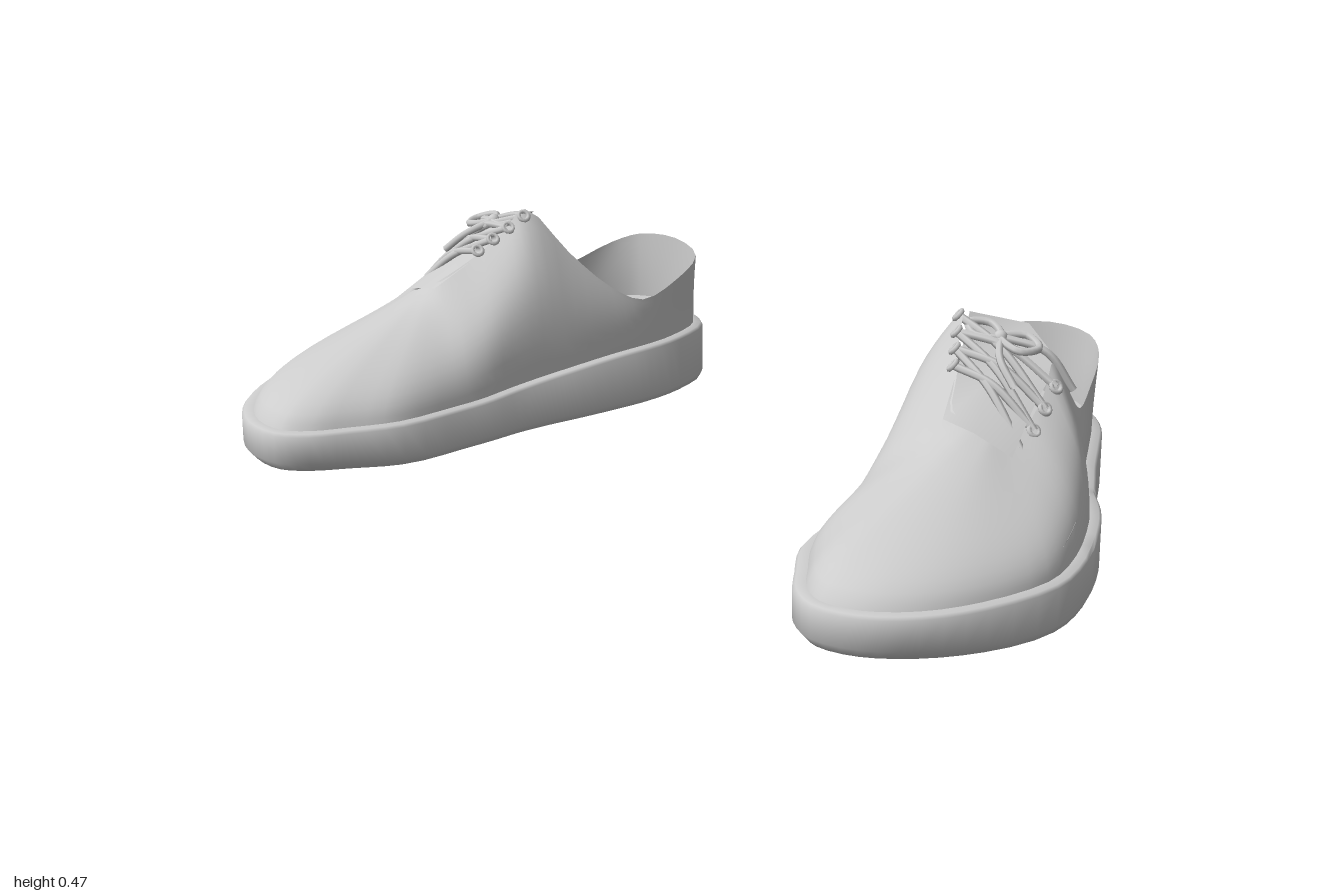
import * as THREE from 'three';
import { toCreasedNormals } from 'three/addons/utils/BufferGeometryUtils.js';

const V = (x, y, z) => new THREE.Vector3(x, y, z);
const smooth = THREE.MathUtils.smoothstep;

// Around the shoe from the heel: sole outline x, z, then the matching point x, y, z on the opening edge
const PROFILE = [
  [.51, -.566, .51, .31, -.545], [.40, -.51, .412, .295, -.50], [.37, -.39, .39, .265, -.40],
  [.375, -.29, .405, .24, -.30], [.39, -.22, .44, .28, -.23], [.42, -.11, .50, .365, -.16],
  [.445, -.03, .575, .465, -.10], [.465, .05, .60, .415, -.05], [.475, .12, .635, .365, .01],
  [.49, .20, .67, .325, .075], [.52, .35, .695, .312, .08], [.58, .45, .71, .305, .08],
  [.63, .52, .72, .30, .08], [.695, .56, .73, .295, .08], [.79, .547, .74, .29, .08],
  [.88, .48, .755, .285, .075], [.95, .37, .77, .277, .07], [.997, .21, .785, .27, .06],
  [.98, .08, .785, .285, .01], [.93, -.05, .775, .335, -.08], [.895, -.11, .755, .385, -.145],
  [.855, -.16, .75, .335, -.195], [.82, -.22, .74, .28, -.245], [.786, -.28, .73, .235, -.30],
  [.73, -.39, .70, .25, -.39], [.68, -.48, .66, .285, -.49], [.615, -.545, .61, .305, -.535],
];
const N = PROFILE.length * 3;
const outline = new THREE.CatmullRomCurve3(PROFILE.map(p => V(p[0], 0, p[1])), true);
const opening = new THREE.CatmullRomCurve3(PROFILE.map(p => V(p[2], p[3], p[4])), true);

const soleTop = z => .1 + .035 * smooth(-z, -.2, .28);
const toeLift = z => smooth(z, .25, .56);
const insoleTop = z => .16 - .06 * smooth(z, 0, .3);

// Outline ring moved inwards by d(z), at height y(z)
function ring(d, y) {
  return Array.from({ length: N }, (_, i) => {
    const p = outline.getPoint(i / N), t = outline.getTangent(i / N);
    const inset = d(p.z);
    return V(p.x + t.z * inset, y(p.z), p.z - t.x * inset);
  });
}

// Surface through rows of points; closed rows wrap around, caps fill the first and last row
function loft(rows, closed = true, caps = false) {
  const n = rows[0].length, index = [];
  for (let j = 0; j < rows.length - 1; j++) {
    for (let i = 0; i < (closed ? n : n - 1); i++) {
      const k = (i + 1) % n, a = j * n, b = a + n;
      index.push(a + i, a + k, b + k, a + i, b + k, b + i);
    }
  }
  if (caps) {
    const fill = (row, base, flip) => {
      const flat = row.map(p => new THREE.Vector2(p.x, -p.z));
      for (const [a, b, c] of THREE.ShapeUtils.triangulateShape(flat, [])) {
        index.push(base + a, base + (flip ? c : b), base + (flip ? b : c));
      }
    };
    fill(rows[0], 0, true);
    fill(rows.at(-1), (rows.length - 1) * n, false);
  }
  const g = new THREE.BufferGeometry().setFromPoints(rows.flat());
  g.setIndex(index);
  g.computeVertexNormals();
  return g;
}

// Flip a geometry in x and restore the winding
function mirror(g) {
  g.scale(-1, 1, 1);
  const idx = g.index ? [...g.index.array] : Array.from({ length: g.attributes.position.count }, (_, i) => i);
  for (let i = 0; i < idx.length; i += 3) [idx[i], idx[i + 1]] = [idx[i + 1], idx[i]];
  g.setIndex(idx);
  return g;
}

const cord = (points, closed = false) =>
  new THREE.TubeGeometry(new THREE.CatmullRomCurve3(points, closed), 20, .008, 6, closed);

function createShoe(side, material) {
  const shoe = new THREE.Group();
  shoe.name = side > 0 ? 'leftShoe' : 'rightShoe';
  const add = (name, g) => {
    const mesh = new THREE.Mesh(side > 0 ? g : mirror(g), material);
    mesh.name = name;
    shoe.add(mesh);
  };

  // Thick sole, rounded underneath and lifted a little at the toe
  const sole = loft([
    ring(z => .02 + .035 * toeLift(z), () => 0),
    ring(z => .006 + .012 * toeLift(z), z => .006 + .008 * toeLift(z)),
    ring(() => 0, z => .02 + .015 * toeLift(z)),
    ring(() => 0, z => soleTop(z) - .006),
    ring(() => .005, soleTop),
    ring(() => .03, soleTop),
  ], true, true);
  add('sole', toCreasedNormals(sole, 1));

  // Insole, sloping down towards the toe
  const insole = loft([ring(() => .035, z => insoleTop(z) - .03), ring(() => .035, insoleTop)], true, true);
  add('insole', toCreasedNormals(insole, .75));

  // Upper: each column curves from the sole to the opening edge, fuller on the inner side
  const base = ring(() => .022, z => soleTop(z) - .008);
  const columns = base.map((p, i) => {
    const q = opening.getPoint(i / N), d = q.clone().sub(p);
    const w = (1 - smooth(p.z, 0, .3)) * (i < N / 2 ? 1 : .5);
    const at = (f, h) => V(p.x + d.x * f, p.y + d.y * h, p.z + d.z * f);
    const c1 = at(.05, .4 + .1 * w), c2 = at(.5 - .15 * w, .55 + .15 * w);
    return new THREE.CubicBezierCurve3(p, c1, c2, q).getPoints(12);
  });
  add('upper', loft(columns[0].map((_, j) => columns.map(c => c[j]))));

  // Tongue under the laces
  add('tongue', loft([
    [V(.665, .312, .10), V(.735, .30, .10), V(.805, .26, .075)],
    [V(.62, .38, -.02), V(.69, .365, -.03), V(.775, .325, -.05)],
    [V(.58, .455, -.115), V(.655, .42, -.215), V(.755, .375, -.165)],
  ], false));

  // Eyelets in two rows of four, with crossed laces between
  const inner = [], outer = [];
  for (let k = 0; k < 4; k++) {
    inner.push(V(.622, .385, .005).lerp(V(.57, .452, -.09), k / 3));
    outer.push(V(.803, .257, .035).lerp(V(.787, .347, -.105), k / 3));
  }
  [[inner, V(-.65, .65, .35)], [outer, V(.75, .6, .25)]].forEach(([row, normal]) => {
    const q = new THREE.Quaternion().setFromUnitVectors(V(0, 0, 1), normal.normalize());
    row.forEach(p => add('eyelet',
      new THREE.TorusGeometry(.011, .005, 6, 12).applyQuaternion(q).translate(p.x, p.y, p.z)));
  });
  const cross = (a, b) => {
    const mid = a.clone().lerp(b, .5);
    mid.y += .025;
    add('lace', cord([a, mid, b]));
  };
  for (let k = 0; k < 3; k++) {
    cross(inner[k], outer[k + 1]);
    cross(outer[k], inner[k + 1]);
  }

  // Bow with two loops and two loose ends
  const knot = V(.665, .425, -.095);
  add('bowKnot', new THREE.SphereGeometry(.014, 10, 8).translate(knot.x, knot.y, knot.z));
  add('bowLoop', cord([knot, V(.625, .438, -.125), V(.59, .44, -.10), V(.62, .428, -.07)], true));
  add('bowLoop', cord([knot, V(.70, .425, -.135), V(.74, .412, -.115), V(.72, .412, -.075)], true));
  add('laceEnd', cord([knot, V(.745, .40, -.135), V(.79, .325, -.165)]));
  add('laceEnd', cord([knot, V(.70, .40, -.04), V(.745, .36, -.02)]));
  return shoe;
}

export function createModel() {
  const lightGrey = new THREE.MeshStandardMaterial({ color: 0xcccccc, side: THREE.DoubleSide });
  lightGrey.name = 'lightGrey';

  const model = new THREE.Group();
  model.name = 'pairOfShoes';
  model.add(createShoe(1, lightGrey), createShoe(-1, lightGrey));
  return model;
}
